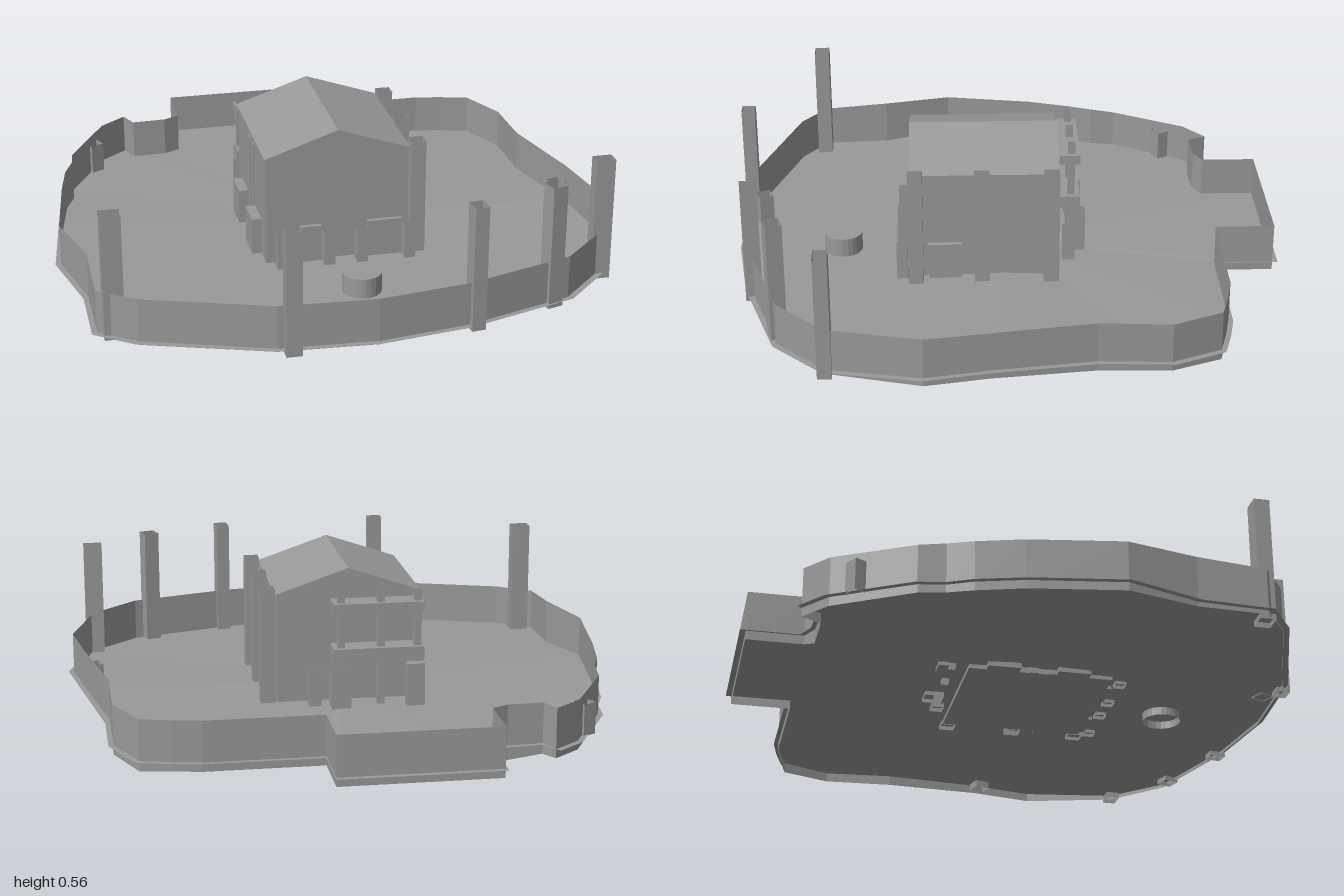
import * as THREE from 'three';

const mat = new THREE.MeshStandardMaterial({ color: 0x999999, flatShading: true, side: THREE.DoubleSide });

// Yard boundary: x, z, bottom and top of the wall
const OUTLINE = [
  [-0.41, -1, 0.02, 0.2], [0.17, -1, 0.02, 0.2], [0.17, -0.78, 0.02, 0.2], [0.6, -0.78, 0.02, 0.2],
  [0.7, -0.76, 0.02, 0.2], [0.81, -0.73, 0.015, 0.2], [0.89, -0.55, 0.02, 0.2], [0.89, -0.29, 0.025, 0.21],
  [0.965, 0.08, 0.045, 0.22], [1, 0.31, 0.04, 0.22], [0.91, 0.65, 0.04, 0.21], [0.73, 0.825, 0.04, 0.21],
  [0.33, 0.95, 0.04, 0.21], [0, 0.997, 0.04, 0.21], [-0.35, 0.975, 0.04, 0.21], [-0.8, 0.825, 0.04, 0.21],
  [-0.93, 0.73, 0.04, 0.21], [-0.93, 0.48, 0.045, 0.23], [-1, 0.22, 0.045, 0.225], [-0.955, -0.12, 0.04, 0.22],
  [-0.925, -0.29, 0.03, 0.21], [-0.89, -0.38, 0.03, 0.21], [-0.88, -0.475, 0.025, 0.2], [-0.73, -0.75, 0.02, 0.2],
  [-0.63, -0.83, 0.02, 0.2], [-0.6, -0.76, 0.015, 0.2], [-0.47, -0.765, 0, 0.2], [-0.41, -0.795, 0.02, 0.2],
];

function surface(name, positions, indices) {
  const g = new THREE.BufferGeometry();
  g.setAttribute('position', new THREE.Float32BufferAttribute(positions, 3));
  g.setIndex(indices);
  g.computeVertexNormals();
  const m = new THREE.Mesh(g, mat);
  m.name = name;
  return m;
}

// Box given by its limits on each axis
function box(name, x0, x1, y0, y1, z0, z1) {
  const m = new THREE.Mesh(new THREE.BoxGeometry(x1 - x0, y1 - y0, z1 - z0), mat);
  m.position.set((x0 + x1) / 2, (y0 + y1) / 2, (z0 + z1) / 2);
  m.name = name;
  return m;
}

// Hollow post of width w and depth d, open at both ends
function post(name, x, z, w, d, y0, y1, turn = 0) {
  const g = new THREE.CylinderGeometry(Math.SQRT1_2, Math.SQRT1_2, y1 - y0, 4, 1, true);
  g.rotateY(Math.PI / 4).scale(w, 1, d).rotateY(turn);
  const m = new THREE.Mesh(g, mat);
  m.position.set(x, (y0 + y1) / 2, z);
  m.name = name;
  return m;
}

// Solid from a front-facing section, running from z0 to z1
function prism(name, points, z0, z1) {
  const shape = new THREE.Shape(points.map(([x, y]) => new THREE.Vector2(x, y)));
  const m = new THREE.Mesh(new THREE.ExtrudeGeometry(shape, { depth: z1 - z0, bevelEnabled: false }), mat);
  m.position.z = z0;
  m.name = name;
  return m;
}

function yard() {
  const group = new THREE.Group();
  group.name = 'yard';
  const n = OUTLINE.length;
  // Gently domed ground as a fan from its middle
  const ground = [0, 0.07, 0], groundFaces = [];
  const wall = [], wallFaces = [];
  OUTLINE.forEach(([x, z, bottom, top], i) => {
    const j = (i + 1) % n;
    ground.push(x, 0.052 + 0.025 * Math.exp(-(((z - 0.1) / 0.4) ** 2)), z);
    groundFaces.push(0, j + 1, i + 1);
    // The wall stands just inside the edge of the ground
    wall.push(x * 0.98, bottom, z * 0.98, x * 0.98, top, z * 0.98);
    wallFaces.push(2 * i, 2 * i + 1, 2 * j, 2 * j, 2 * i + 1, 2 * j + 1);
  });
  group.add(surface('ground', ground, groundFaces), surface('boundaryWall', wall, wallFaces));

  // Tall posts along the front boundary
  for (const [x, z, w, d, turn] of [
    [-0.855, 0.72, 0.07, 0.056, 0], [-0.292, 0.968, 0.056, 0.05, 0], [0.35, 0.918, 0.05, 0.06, 0.12],
    [0.652, 0.812, 0.058, 0.058, 0.3], [0.885, 0.637, 0.07, 0.05, 0],
  ]) group.add(post('boundaryPost', x, z, w, d, 0.035, 0.49, turn));

  // Small brackets on the inside of the wall
  for (const [x, z, turn] of [[0.91, 0.09, 0.3], [-0.22, 0.92, 0.4], [-0.76, -0.65, 0.5]])
    group.add(post('wallBracket', x, z, 0.055, 0.055, 0.05, 0.165, turn));

  // Round well, closed on top and open below
  const profile = [[0.07, 0.03], [0.07, 0.13], [0, 0.13]].map(([r, y]) => new THREE.Vector2(r, y));
  const well = new THREE.Mesh(new THREE.LatheGeometry(profile, 24), mat);
  well.position.set(0.028, 0, 0.608);
  well.name = 'well';
  group.add(well);
  return group;
}

function house() {
  const group = new THREE.Group();
  group.name = 'house';
  group.add(prism('houseBody', [[-0.26, 0.05], [0.26, 0.05], [0.26, 0.455], [0, 0.545], [-0.26, 0.455]], -0.178, 0.345));
  group.add(prism('roof', [[-0.265, 0.455], [0, 0.545], [0.265, 0.455], [0.265, 0.47], [0, 0.56], [-0.265, 0.47]], -0.185, 0.355));

  // Posts along the left side
  for (const z of [0.335, 0.095, -0.155]) group.add(post('sidePost', 0.293, z, 0.054, 0.054, 0.05, 0.49));
  group.add(box('sideBox', 0.26, 0.28, 0.05, 0.2, 0.17, 0.29));

  // Low boxes and pilasters on the right side
  for (const z of [-0.115, 0.14]) group.add(box('sideBox', -0.295, -0.26, 0.05, 0.2, z, z + 0.12));
  for (const z of [0.04, 0.11]) group.add(box('pilaster', -0.265, -0.25, 0.05, 0.44, z, z + 0.035));

  // Low panels on the front, each between two short posts
  for (const [x0, x1] of [[-0.18, -0.06], [0.11, 0.235]]) {
    group.add(box('frontPanel', x0, x1, 0.05, 0.2, 0.345, 0.362));
    for (const x of [x0 - 0.03, x1 + 0.02]) group.add(post('shortPost', x, 0.385, 0.04, 0.04, 0.05, 0.19));
  }
  return group;
}

function porch() {
  const group = new THREE.Group();
  group.name = 'porch';
  for (const x of [-0.245, -0.11, 0.035]) group.add(post('porchPost', x, -0.238, 0.026, 0.026, 0.05, 0.485));
  group.add(box('canopy', -0.265, 0.065, 0.412, 0.447, -0.27, -0.18));
  group.add(box('balcony', -0.265, 0.065, 0.235, 0.28, -0.27, -0.18));
  group.add(box('planter', -0.265, -0.2, 0.05, 0.22, -0.288, -0.25));
  group.add(post('openBin', 0.04, -0.255, 0.07, 0.07, 0.05, 0.21));
  group.add(post('openBin', 0.13, -0.225, 0.045, 0.045, 0.05, 0.19));
  return group;
}

export function createModel() {
  const model = new THREE.Group();
  model.name = 'walledHouse';
  model.add(yard(), house(), porch());
  return model;
}
